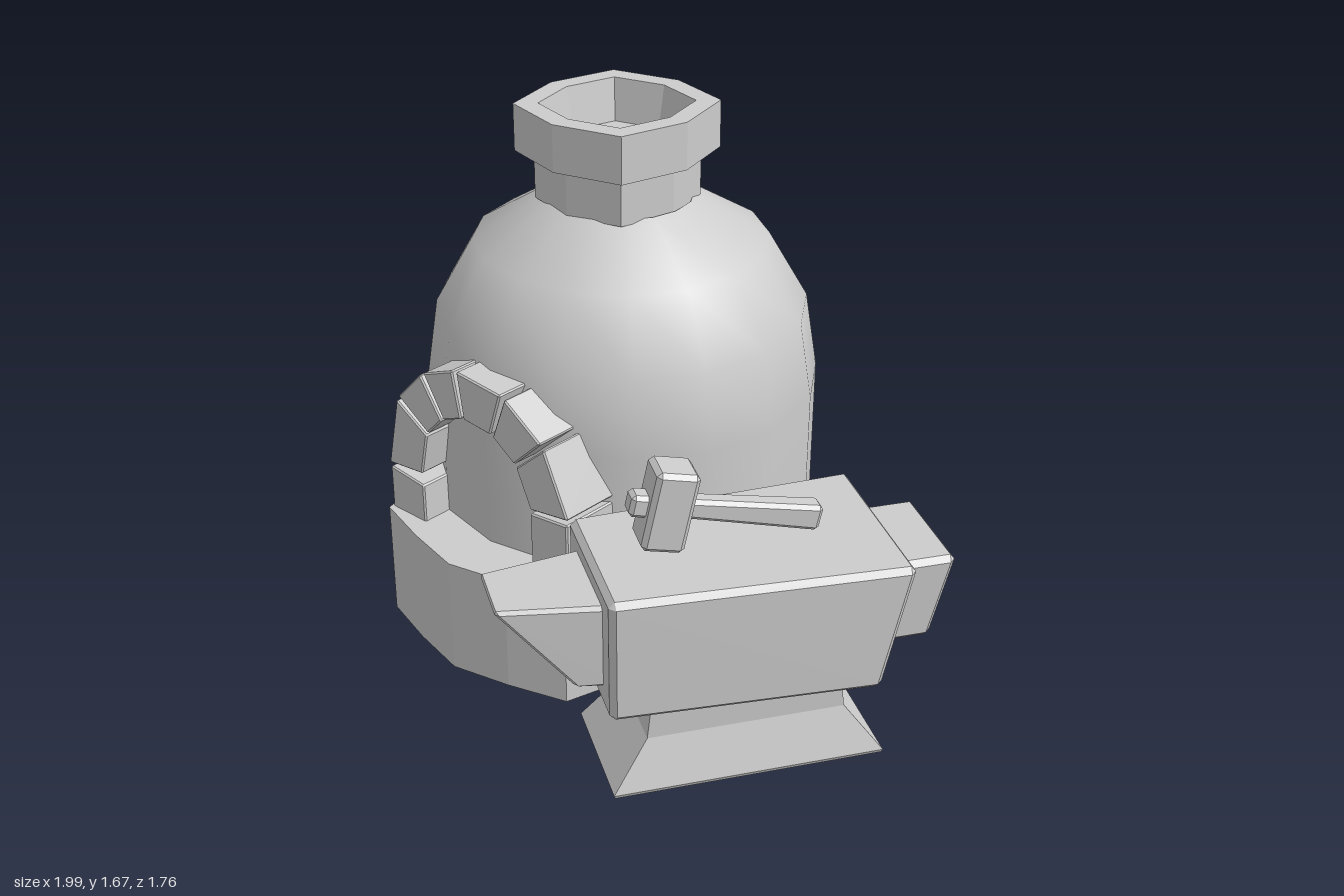
import * as THREE from 'three';
import { ConvexGeometry } from 'three/addons/geometries/ConvexGeometry.js';

const stone = new THREE.MeshStandardMaterial({ color: 0xcccccc, side: THREE.DoubleSide });
stone.name = 'plain grey';

function addMesh(parent, name, geometry) {
  const mesh = new THREE.Mesh(geometry, stone);
  mesh.name = name;
  parent.add(mesh);
  return mesh;
}

function flat(geometry) {
  const g = geometry.toNonIndexed();
  g.computeVertexNormals();
  return g;
}

// Six-sided block with chamfered edges; corner(sx, sy, sz) gives the position for signs -1 / +1
function block(parent, name, corner, bevel = 0.012) {
  const at = (s) => new THREE.Vector3(...corner(...s));
  const points = [];
  for (const sx of [-1, 1]) for (const sy of [-1, 1]) for (const sz of [-1, 1]) {
    const s = [sx, sy, sz];
    const p = at(s);
    const steps = [0, 1, 2].map((axis) => {
      const edge = at(s.map((v, i) => (i === axis ? -v : v))).sub(p);
      return edge.clone().setLength(Math.min(bevel, edge.length() * 0.4));
    });
    for (const [a, b] of [[0, 1], [0, 2], [1, 2]]) points.push(p.clone().add(steps[a]).add(steps[b]));
  }
  return addMesh(parent, name, new ConvexGeometry(points));
}

function buildFurnace() {
  const furnace = new THREE.Group();
  furnace.name = 'furnace';

  // Sixteen-sided dome, open below, slightly flattened at the front
  const profile = [[0.635, 0], [0.64, 0.77], [0.6, 1.02], [0.475, 1.235], [0.235, 1.38]];
  const dome = new THREE.LatheGeometry(profile.map((p) => new THREE.Vector2(...p)), 16);
  const pos = dome.attributes.position;
  for (let i = 0; i < pos.count; i++) if (pos.getZ(i) > 0) pos.setZ(i, pos.getZ(i) * 0.95);
  addMesh(furnace, 'dome', dome).position.set(-0.36, 0, -0.25);

  // Eight-sided chimney with a collar and a shallow hollow
  const outline = [[0.23, 1.37], [0.23, 1.525], [0.283, 1.525], [0.283, 1.675],
    [0.215, 1.675], [0.19, 1.54], [0.001, 1.54]];
  const chimney = new THREE.LatheGeometry(outline.map((p) => new THREE.Vector2(...p)), 8);
  const cp = chimney.attributes.position;
  for (let i = 0; i < cp.count; i++) {
    // diagonal corners stand out a little further
    if (Math.floor(i / outline.length) % 2) cp.setXYZ(i, cp.getX(i) * 1.12, cp.getY(i), cp.getZ(i) * 1.12);
  }
  addMesh(furnace, 'chimney', flat(chimney)).position.set(-0.36, 0, -0.245);

  // Hearth ledge
  const ledge = [[0.1, 0.15], [0.1, 0.21], [0.035, 0.43], [-0.16, 0.49], [-0.36, 0.535], [-0.56, 0.49],
    [-0.755, 0.43], [-0.82, 0.21], [-0.82, 0.15], [-0.6, 0.28], [-0.36, 0.32], [-0.12, 0.28]];
  const shape = new THREE.Shape(ledge.map(([x, z]) => new THREE.Vector2(x, -z)));
  const hearth = new THREE.ExtrudeGeometry(shape, { depth: 0.385, bevelEnabled: false });
  addMesh(furnace, 'hearth', hearth.rotateX(-Math.PI / 2));

  // Arch stones between joint angles, given in degrees
  const joints = [187, 148, 123, 100, 70, 42, 7];
  const [cx, cy, inner, outer] = [-0.36, 0.583, 0.245, 0.402];
  const onArch = (deg, r) => [cx + r * Math.cos(deg * Math.PI / 180), cy + r * Math.sin(deg * Math.PI / 180)];
  for (let i = 0; i < joints.length - 1; i++) {
    block(furnace, 'archStone', (sx, sy, sz) => {
      const deg = sx < 0 ? joints[i] - 1.3 : joints[i + 1] + 1.3;
      return [...onArch(deg, sy > 0 ? outer : inner), sz > 0 ? 0.412 : 0.14];
    }, 0.005);
  }
  for (const side of [-1, 1]) {
    const top = side < 0 ? 0.525 : 0.615;
    block(furnace, 'archFoot', (sx, sy, sz) => [
      cx + side * (sx > 0 ? 0.395 : 0.24), sy > 0 ? top + sx * 0.008 : 0.375, sz > 0 ? 0.412 : 0.12], 0.005);
  }
  return furnace;
}

function buildAnvil() {
  const anvil = new THREE.Group();
  anvil.name = 'anvil';
  anvil.position.set(0.52, 0, 0.21);
  anvil.rotation.y = -0.57;

  // Body: wider towards the back, back end leaning in below
  block(anvil, 'anvilBody', (sx, sy, sz) => [
    sx * (sz > 0 ? 0.243 : 0.288), sy > 0 ? 0.69 : 0.3, sz > 0 ? 0.438 : sy > 0 ? -0.44 : -0.35], 0.018);

  // Horn: wedge rising to a thin front edge
  block(anvil, 'horn', (sx, sy, sz) => [
    sx * (sz < 0 ? 0.165 : sy > 0 ? 0.108 : 0.145),
    sy > 0 ? 0.632 : 0.365,
    sz < 0 ? 0.4 : sy > 0 ? 0.735 : 0.51], 0.012);

  // Heel: square block at the back
  block(anvil, 'heel', (sx, sy, sz) => [
    sx * (sy > 0 ? 0.172 : 0.16), sy > 0 ? 0.632 : 0.36, sz > 0 ? -0.3 : sy > 0 ? -0.61 : -0.545], 0.018);

  // Waisted foot, open below; rows are height, half width, half length
  const rows = [[0, 0.2, 0.407], [0.012, 0.205, 0.412], [0.16, 0.155, 0.3], [0.25, 0.155, 0.29],
    [0.285, 0.175, 0.315], [0.305, 0.215, 0.35]];
  const foot = new THREE.LatheGeometry(rows.map(([y]) => new THREE.Vector2(1, y)), 4, Math.PI / 4);
  const p = foot.attributes.position;
  for (let i = 0; i < p.count; i++) {
    const [y, a, b] = rows[i % rows.length];
    p.setXYZ(i, Math.sign(p.getX(i)) * a, y, Math.sign(p.getZ(i)) * b);
  }
  addMesh(anvil, 'foot', flat(foot)).position.z = 0.01;
  return anvil;
}

function buildHammer() {
  const hammer = new THREE.Group();
  hammer.name = 'hammer';
  hammer.position.set(0.405, 0.835, 0.388);
  hammer.rotation.set(-0.21, -0.593, 0, 'YXZ');
  block(hammer, 'hammerHead', (sx, sy, sz) => [sx * 0.064, sy * 0.124, sz * 0.064], 0.014);
  // Handle thickens towards its free end
  block(hammer, 'handle', (sx, sy, sz) => [
    sx * (sz > 0 ? 0.028 : 0.034), sy * (sz > 0 ? 0.028 : 0.04), sz > 0 ? 0.05 : -0.46], 0.012);
  block(hammer, 'handleTip', (sx, sy, sz) => [sx * 0.034, sy * 0.034, sz > 0 ? 0.112 : 0.04], 0.012);
  return hammer;
}

export function createModel() {
  const model = new THREE.Group();
  model.name = 'forge';
  model.add(buildFurnace(), buildAnvil(), buildHammer());
  return model;
}
